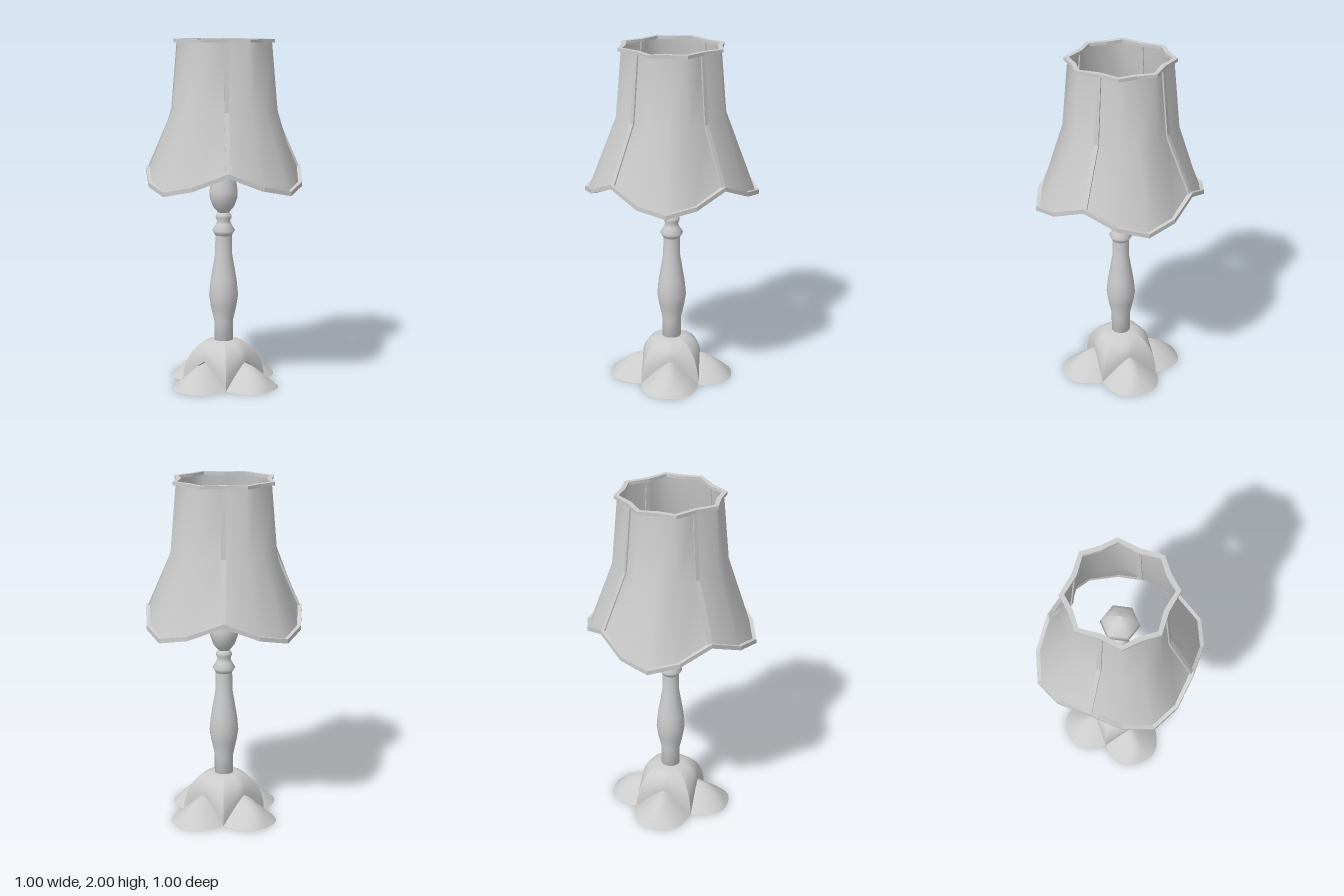
import * as THREE from 'three';

const smooth = new THREE.MeshStandardMaterial({ color: 0xcccccc, side: THREE.DoubleSide });
const flat = new THREE.MeshStandardMaterial({ color: 0xcccccc, side: THREE.DoubleSide, flatShading: true });

// Surface from fn(i, j) -> [x, y, z] on an nu x nv grid
function grid(fn, nu, nv) {
  const pos = [], idx = [];
  for (let j = 0; j <= nv; j++) for (let i = 0; i <= nu; i++) pos.push(...fn(i, j));
  for (let j = 0; j < nv; j++) for (let i = 0; i < nu; i++) {
    const a = j * (nu + 1) + i, b = a + 1, c = a + nu + 1, d = c + 1;
    idx.push(a, c, b, b, c, d);
  }
  const g = new THREE.BufferGeometry();
  g.setAttribute('position', new THREE.Float32BufferAttribute(pos, 3));
  g.setIndex(idx);
  g.computeVertexNormals();
  return g;
}

// Rectangular strip along points: radial thickness from r0 to r1, width w along axis
function strip(points, axis, r0, r1, w0, w1) {
  const corners = [[r0, w0], [r1, w0], [r1, w1], [r0, w1], [r0, w0]];
  return grid((i, j) => {
    const p = points[j], out = new THREE.Vector3(p.x, 0, p.z).normalize();
    return p.clone().addScaledVector(out, corners[i][0]).addScaledVector(axis, corners[i][1]).toArray();
  }, 4, points.length - 1);
}

function add(parent, name, geometry, material = smooth) {
  const m = new THREE.Mesh(geometry, material);
  m.name = name;
  parent.add(m);
  return m;
}

// Half of one shade panel per level: centre, halfway, seam
const levels = [
  [[0, 2, 0.262], [0.1, 2, 0.272], [0.175, 2, 0.175]],
  [[0, 1.6, 0.31], [0.115, 1.6, 0.305], [0.2, 1.6, 0.2]],
  [[0, 1.15, 0.485], [0.16, 1.185, 0.43], [0.305, 1.26, 0.305]],
];
const panelPoint = (i, j) => {
  const [x, y, z] = levels[j][Math.abs(i - 2)];
  return [Math.sign(i - 2) * x, y, z];
};
const row = (j) => [0, 1, 2, 3, 4].map((i) => new THREE.Vector3(...panelPoint(i, j)));

function makeShade() {
  const shade = new THREE.Group();
  shade.name = 'lampshade';
  const up = new THREE.Vector3(0, 1, 0);
  const across = new THREE.Vector3(1, 0, -1).normalize();
  for (let k = 0; k < 4; k++) {
    const side = new THREE.Group();
    side.name = 'shadeSide';
    side.rotation.y = k * Math.PI / 2;
    add(side, 'shadePanel', grid(panelPoint, 4, 2));
    add(side, 'topTrim', strip(row(0), up, -0.008, 0.02, -0.018, 0), flat);
    add(side, 'bottomTrim', strip(row(2), up, -0.008, 0.016, -0.005, 0.02), flat);
    const seam = [0, 1, 2].map((j) => new THREE.Vector3(...panelPoint(4, j)));
    add(side, 'seamTrim', strip(seam, across, -0.006, 0.01, -0.013, 0.013), flat);
    shade.add(side);
  }
  return shade;
}

function makeBase() {
  const base = new THREE.Group();
  base.name = 'base';
  const N = 16, H = 8;
  const arch = (u) => 0.145 * (1 - Math.pow(Math.abs(u), 1.2));
  const span = (i) => Math.sin((i / N - 0.5) * Math.PI);
  const rimZ = (u) => 0.17 + 0.19 * Math.pow(Math.max(0, 1 - Math.abs(u) ** 3), 0.6);

  // Quarter of the dome: round at the collar, square with pointed feet below
  const dome = grid((i, j) => {
    const u = 2 * i / N - 1, a = u * Math.PI / 4, t = j / H;
    const s = Math.sin(t * Math.PI / 2), drop = 1 - Math.cos(t * Math.PI / 2);
    const x0 = 0.055 * Math.sin(a), z0 = 0.055 * Math.cos(a);
    return [x0 + (0.17 * u - x0) * s, 0.25 + (arch(u) - 0.25) * drop, z0 + (0.17 - z0) * s];
  }, N, H);

  // Petal flowing out of the arch down to the floor
  const petal = grid((i, j) => {
    const u = span(i), s = j / H;
    return [0.17 * u, arch(u) * 0.96 * (1 - s * s), 0.152 + (rimZ(u) - 0.152) * s];
  }, N, H);

  const outline = [];
  for (let k = 0; k < 4; k++) {
    const side = new THREE.Group();
    side.name = 'baseSide';
    side.rotation.y = k * Math.PI / 2;
    add(side, 'dome', dome);
    add(side, 'petal', petal);
    base.add(side);
    for (let i = 0; i < N; i++) {
      const p = new THREE.Vector2(0.17 * span(i), rimZ(span(i)));
      outline.push(p.rotateAround(new THREE.Vector2(), -k * Math.PI / 2));
    }
  }
  // Flat underside
  add(base, 'underside', new THREE.ShapeGeometry(new THREE.Shape(outline)).rotateX(Math.PI / 2));
  return base;
}

const lathe = (profile, sides) =>
  new THREE.LatheGeometry(profile.map(([r, y]) => new THREE.Vector2(r, y)), sides);

export function createModel() {
  const lamp = new THREE.Group();
  lamp.name = 'tableLamp';
  lamp.add(makeBase());

  // Turned column
  add(lamp, 'column', lathe([
    [0, 0.22], [0.055, 0.22], [0.055, 0.36], [0.075, 0.45], [0.085, 0.515], [0.077, 0.6], [0.05, 0.76],
    [0.048, 0.87],
  ], 16));
  add(lamp, 'collar', lathe([
    [0.048, 0.87], [0.053, 0.878], [0.067, 0.9], [0.045, 0.935], [0.038, 0.955], [0.046, 0.975], [0.045, 0.99],
    [0.033, 1.005],
  ], 16));
  // Vase-shaped holder
  add(lamp, 'holder', lathe([
    [0.033, 1.005], [0.062, 1.04], [0.08, 1.09], [0.082, 1.13], [0.07, 1.2], [0.052, 1.29], [0.042, 1.36],
    [0.03, 1.38], [0, 1.38],
  ], 16));
  add(lamp, 'rod', new THREE.CylinderGeometry(0.018, 0.018, 0.16, 8).translate(0, 1.44, 0));
  // Six-sided bulb
  add(lamp, 'bulb', lathe([
    [0, 1.5], [0.05, 1.5], [0.11, 1.58], [0.102, 1.61], [0.06, 1.66], [0, 1.69],
  ], 6).rotateY(Math.PI / 2));

  lamp.add(makeShade());
  return lamp;
}
